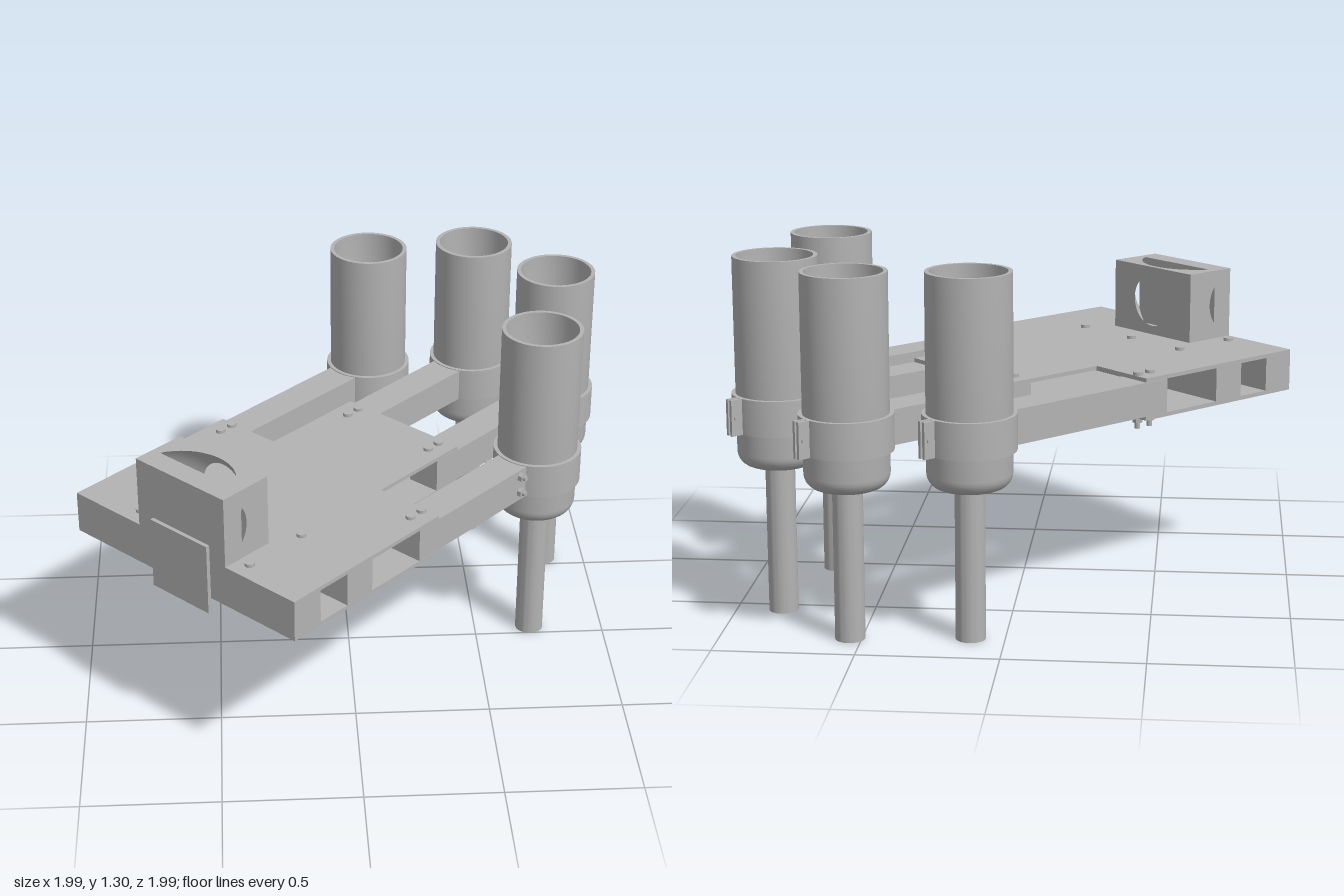
import * as THREE from 'three';
import { toCreasedNormals, mergeVertices } from 'three/addons/utils/BufferGeometryUtils.js';

const grey = new THREE.MeshStandardMaterial({ color: 0xb3b3b3, side: THREE.DoubleSide });
grey.name = 'plainGrey';

// Everything is built along local x (towards the cups) and local z, then turned 45 degrees.
export function createModel() {
  const model = new THREE.Group();
  model.name = 'cupRack';
  const body = new THREE.Group();
  body.name = 'rack';
  body.rotation.y = Math.PI / 4;
  model.add(body);

  const add = (name, geo, x = 0, y = 0, z = 0, parent = body) => {
    const m = new THREE.Mesh(geo, grey);
    m.name = name;
    m.position.set(x, y, z);
    parent.add(m);
    return m;
  };
  const box = (name, x0, x1, y0, y1, z0, z1, parent) =>
    add(name, new THREE.BoxGeometry(x1 - x0, y1 - y0, z1 - z0),
      (x0 + x1) / 2, (y0 + y1) / 2, (z0 + z1) / 2, parent);

  // Horizontal slab from an (x, z) outline, with the vertical sight hole
  const slab = (name, pts, y0, y1) => {
    const s = new THREE.Shape(pts.map(([x, z]) => new THREE.Vector2(x, -z)));
    s.holes.push(new THREE.Path().absarc(-0.771, 0, 0.03, 0, Math.PI * 2, true));
    const g = new THREE.ExtrudeGeometry(s, { depth: y1 - y0, bevelEnabled: false, curveSegments: 16 });
    add(name, g.rotateX(-Math.PI / 2), 0, y0, 0);
  };

  // Stepped deck plates, top and bottom
  const outline = [[-0.87, -0.542], [-0.117, -0.542], [-0.117, -0.275], [0.318, -0.275],
    [0.318, 0.263], [-0.117, 0.263], [-0.117, 0.537], [-0.87, 0.537]];
  slab('bottomPlate', outline, 0.67, 0.685);
  slab('topPlate', outline, 0.812, 0.827);

  // Cross beams between the plates
  slab('frontBeam', [[-0.87, -0.542], [-0.74, -0.542], [-0.74, 0.537], [-0.87, 0.537]], 0.685, 0.812);
  box('middleBeam', -0.605, -0.475, 0.685, 0.812, -0.542, 0.537);
  box('frontPanel', -0.885, -0.87, 0.613, 0.885, -0.138, 0.138);

  // Bolts through the deck
  const bolt = (x, z) => {
    const b = new THREE.Group();
    b.name = 'deckBolt';
    b.position.set(x, 0, z);
    add('boltHead', new THREE.CylinderGeometry(0.018, 0.018, 0.012, 16), 0, 0.833, 0, b);
    add('boltNut', toCreasedNormals(new THREE.CylinderGeometry(0.019, 0.019, 0.02, 6), 0.4), 0, 0.66, 0, b);
    add('boltShank', new THREE.CylinderGeometry(0.01, 0.01, 0.2, 12), 0, 0.727, 0, b);
    body.add(b);
  };
  for (const z of [-0.276, 0.265]) bolt(-0.803, z);
  for (const z of [-0.276, -0.005, 0.265]) bolt(-0.542, z);

  // Cup with rounded base and hollow stem
  const V = (x, y) => new THREE.Vector2(x, y);
  const profile = [V(0.03, 0), V(0.053, 0), V(0.053, 0.55)];
  for (let i = 0; i <= 6; i++) {
    const a = -Math.PI / 2 + (i / 6) * Math.PI / 2;
    profile.push(V(0.095 + 0.055 * Math.cos(a), 0.605 + 0.055 * Math.sin(a)));
  }
  profile.push(V(0.15, 1.305), V(0.135, 1.305), V(0.135, 0.61), V(0.11, 0.565), V(0.03, 0.565), V(0.03, 0));
  const cupGeo = toCreasedNormals(new THREE.LatheGeometry(profile, 48), 0.6);
  const ringGeo = toCreasedNormals(new THREE.LatheGeometry(
    [V(0.149, 0.685), V(0.165, 0.685), V(0.165, 0.815), V(0.149, 0.815)], 48), 0.6);

  // Arms, clamps and cups: cup x, cup z, inner end of the arm
  const arms = [[0.65, -0.479, -0.22], [0.972, -0.207, 0.2], [0.976, 0.198, 0.2], [0.541, 0.47, -0.22]];
  for (const [x, z, start] of arms) {
    box('arm', start, x - 0.15, 0.685, 0.812, z - 0.066, z + 0.066);
    add('cup', cupGeo, x, 0, z);
    add('clampRing', ringGeo, x, 0, z);
    for (const s of [-1, 1])
      box('clampTab', x + 0.16, x + 0.208, 0.685, 0.815, z + s * 0.011 - 0.006, z + s * 0.011 + 0.006);
    add('clampPin', new THREE.CylinderGeometry(0.008, 0.008, 0.046, 10).rotateX(Math.PI / 2), x + 0.19, 0.75, z);
    bolt(start + 0.025, z);
    bolt(start + 0.085, z);
  }

  // Side bolts on the nearest arm
  for (const y of [0.72, 0.785]) {
    for (const z of [0.396, 0.544])
      add('sideBoltHead', toCreasedNormals(new THREE.CylinderGeometry(0.019, 0.019, 0.018, 6), 0.4)
        .rotateX(Math.PI / 2), 0.356, y, z);
    add('sideBoltShank', new THREE.CylinderGeometry(0.01, 0.01, 0.19, 12).rotateX(Math.PI / 2), 0.356, y, 0.47);
  }

  // Housing with a spherical-cap cavity that breaks through its top, sides and back
  const housing = new THREE.Group();
  housing.name = 'housing';
  body.add(housing);
  const X0 = -0.87, X1 = -0.655, Y0 = 0.827, Y1 = 1.095, W = 0.213;
  const cy = 0.961, flat = -0.786, R = 0.242, d = 0.0895, cx = flat - d;
  const rect = (a0, a1, b0, b1) => new THREE.Shape([V(a0, b0), V(a1, b0), V(a1, b1), V(a0, b1)]);
  const wall = (name, shape, place) => {
    const g = new THREE.ShapeGeometry(shape, 32);
    const p = g.attributes.position;
    for (let i = 0; i < p.count; i++) p.setXYZ(i, ...place(p.getX(i), p.getY(i)));
    g.computeVertexNormals();
    add(name, g, 0, 0, 0, housing);
  };
  // Outline where the cavity meets a wall at the given distance from its axis
  const capHole = (off, mid) => {
    const h = Math.sqrt(R * R - off * off - d * d), pts = [];
    for (let i = 0; i <= 24; i++) {
      const t = -h + (2 * h * i) / 24;
      pts.push(V(cx + Math.sqrt(R * R - off * off - t * t), mid + t));
    }
    return new THREE.Path(pts);
  };
  const top = rect(X0, X1, -W, W);
  top.holes.push(capHole(Y1 - cy, 0));
  wall('housingTop', top, (x, z) => [x, Y1, z]);
  for (const s of [-1, 1]) {
    const side = rect(X0, X1, Y0, Y1);
    side.holes.push(capHole(W, cy));
    wall('housingSide', side, (x, y) => [x, y, s * W]);
  }
  const back = rect(-W, W, Y0, Y1);
  back.holes.push(new THREE.Path().absarc(0, cy, 0.1, 0, Math.PI * 2, true));
  wall('housingBack', back, (z, y) => [X1, y, z]);
  wall('housingFront', rect(-W, W, Y0, Y1), (z, y) => [X0, y, z]);
  wall('cavityFlat', rect(-W, W, Y0, Y1), (z, y) => [flat, y, z]);

  // Curved cavity surface, trimmed to the housing
  const cap = new THREE.PlaneGeometry(1, 1, 96, 10);
  const p = cap.attributes.position;
  for (let i = 0; i < p.count; i++) {
    const a = (p.getX(i) + 0.5) * Math.PI * 2, t = p.getY(i) + 0.5;
    const rim = Math.min(Math.sqrt(R * R - d * d), (Y1 - cy) / Math.max(1e-6, Math.abs(Math.sin(a))),
      W / Math.max(1e-6, Math.abs(Math.cos(a))));
    const r = 0.1 + t * (rim - 0.1);
    p.setXYZ(i, cx + Math.sqrt(R * R - r * r), cy + r * Math.sin(a), r * Math.cos(a));
  }
  cap.deleteAttribute('uv');
  cap.deleteAttribute('normal');
  const capGeo = mergeVertices(cap);
  capGeo.computeVertexNormals();
  add('cavityCurve', capGeo, 0, 0, 0, housing);

  return model;
}
